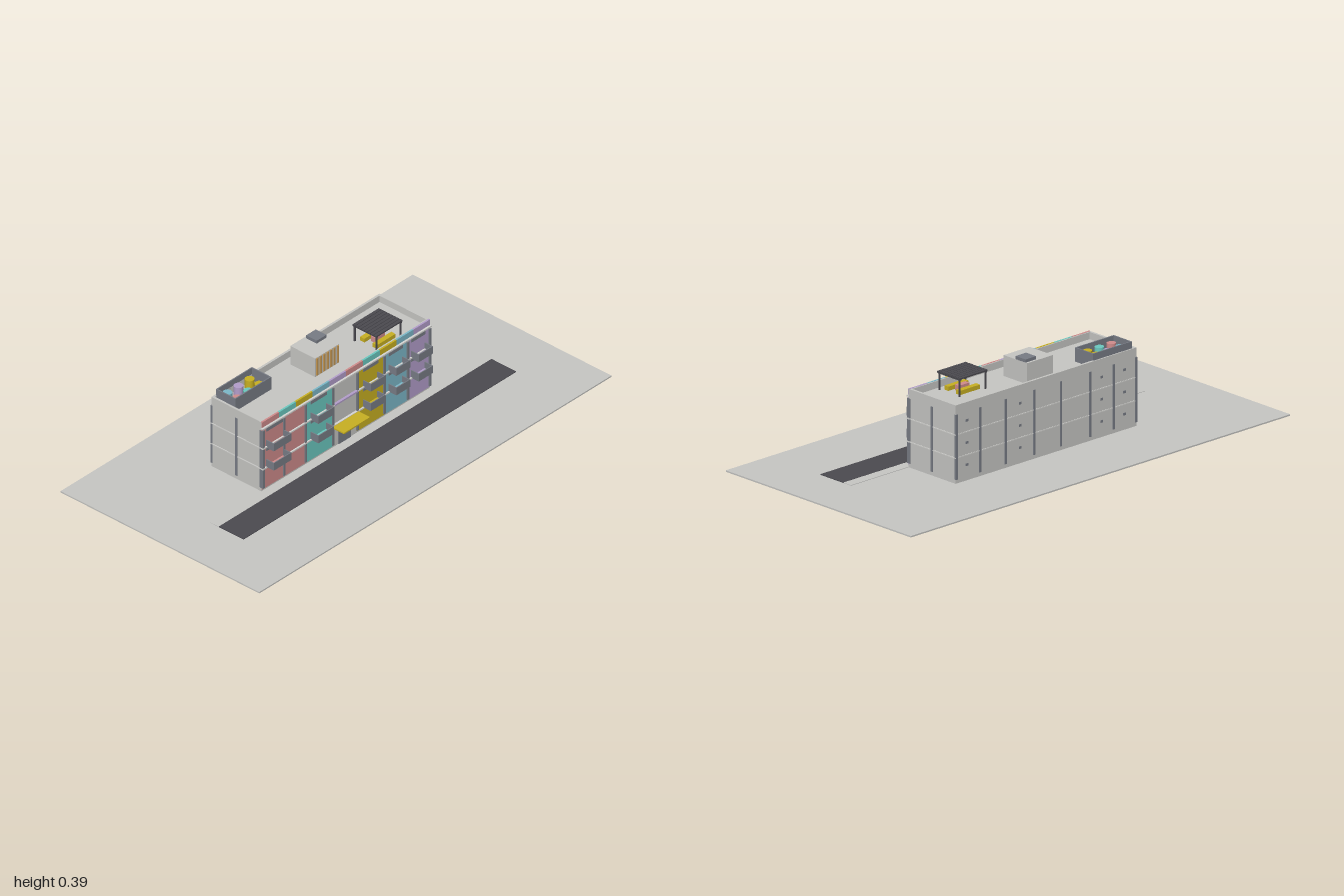
import * as THREE from 'three';

const mat = (name, color) => Object.assign(new THREE.MeshStandardMaterial({ color }), { name });

export function createModel() {
  const concrete = mat('concrete', 0xc6c6c3);
  const pink = mat('pink', 0xd08c8c);
  const teal = mat('teal', 0x6cc9c0);
  const yellow = mat('yellow', 0xc8b022);
  const blue = mat('blue', 0x7cb8c9);
  const purple = mat('purple', 0xb39ecb);
  const slate = mat('slate', 0x787c85);
  const asphalt = mat('asphalt', 0x4b4a50);
  const wood = mat('wood', 0xc79a55);
  const trim = mat('trim', 0xd6d6d3);

  const model = new THREE.Group();
  model.name = 'apartmentBlock';

  // Box given by its min and max corners
  function box(name, m, x0, x1, y0, y1, z0, z1, parent = model) {
    const mesh = new THREE.Mesh(new THREE.BoxGeometry(x1 - x0, y1 - y0, z1 - z0), m);
    mesh.position.set((x0 + x1) / 2, (y0 + y1) / 2, (z0 + z1) / 2);
    mesh.name = name;
    parent.add(mesh);
    return mesh;
  }
  function group(name) {
    const g = new THREE.Group();
    g.name = name;
    model.add(g);
    return g;
  }

  const X0 = -0.485, X1 = 0.469, Z0 = -0.203, Z1 = 0.057;
  const DECK = 0.295, TOP = 0.324, T = 0.01;

  // Site
  box('ground', concrete, -1, 1, 0, 0.006, -0.513, 0.513);
  box('road', asphalt, -0.775, 0.773, 0.004, 0.009, 0.1, 0.227);
  box('pavement', concrete, -0.775, 0.773, 0.004, 0.008, Z1, 0.1);

  // Main body and parapet
  box('body', concrete, X0, X1, 0.006, DECK, Z0, Z1);
  box('parapetBack', concrete, X0, X1, DECK, TOP, Z0, Z0 + T);
  box('parapetLeft', concrete, X1 - T, X1, DECK, TOP, Z0 + T, Z1);
  box('parapetRight', concrete, X0, X0 + T, DECK, TOP, Z0 + T, Z1);
  box('parapetFront', concrete, X0 + T, X1 - T, DECK, TOP, Z1 - T, Z1 - 0.003);

  // Row of coloured parapet panels
  const palette = [pink, teal, yellow, blue, purple];
  const panels = group('parapetPanels');
  const w = (X1 - X0) / 10;
  for (let i = 0; i < 10; i++) {
    box('parapetPanel', palette[i % 5], X0 + i * w, X0 + (i + 1) * w, 0.3, TOP + 0.0005, Z1 - 0.005, Z1 + 0.003, panels);
  }

  // Coloured facade bays
  const bays = [[X0, -0.24, pink], [-0.24, -0.085, teal], [0.055, 0.207, yellow], [0.207, 0.34, blue], [0.34, X1, purple]];
  const facade = group('facade');
  for (const [a, b, m] of bays) box('facadeBay', m, a, b, 0.016, DECK, Z1 - 0.002, Z1 + 0.003, facade);

  // Floor bands around the building
  const bands = group('floorBands');
  for (const y of [0.11, 0.204, 0.295]) {
    box('floorBand', trim, X0 - 0.002, X1 + 0.002, y - 0.003, y + 0.003, Z1 - 0.004, Z1 + 0.0095, bands);
    if (y < 0.29) {
      box('floorBand', trim, X0 - 0.002, X1 + 0.002, y - 0.002, y + 0.002, Z0 - 0.002, Z0 + 0.004, bands);
      for (const x of [X0, X1]) box('floorBand', trim, x - 0.002, x + 0.002, y - 0.002, y + 0.002, Z0, Z1, bands);
    }
  }

  // Pilasters on all sides
  const pilasters = group('pilasters');
  for (const x of [X0 + 0.004, -0.363, -0.24, -0.085, 0.055, 0.207, 0.34, X1 - 0.004]) {
    box('frontPilaster', slate, x - 0.005, x + 0.005, 0.022, 0.286, Z1 - 0.009, Z1 + 0.008, pilasters);
    box('backPilaster', slate, x - 0.005, x + 0.005, 0.022, 0.286, Z0 - 0.003, Z0 + 0.006, pilasters);
  }
  for (const x of [X0, X1]) box('sidePilaster', slate, x - 0.003, x + 0.003, 0.022, 0.286, -0.078, -0.068, pilasters);

  // Balconies: coloured floor, slate railing, window lintel above
  const balconies = group('balconies');
  const spans = [[-0.463, -0.363, pink], [-0.21, -0.12, teal], [0.088, 0.172, yellow], [0.233, 0.312, blue], [0.36, 0.441, purple]];
  for (const [a, b, m] of spans) {
    for (const y of [0.11, 0.199]) {
      box('balconyFloor', m, a + 0.003, b - 0.003, y, y + 0.006, Z1, 0.097, balconies);
      box('balconyFront', slate, a, b, y, y + 0.034, 0.096, 0.1, balconies);
      box('balconySide', slate, a, a + 0.004, y, y + 0.034, Z1, 0.097, balconies);
      box('balconySide', slate, b - 0.004, b, y, y + 0.034, Z1, 0.097, balconies);
      box('windowHead', slate, a, b, y + 0.073, y + 0.088, Z1, Z1 + 0.005, balconies);
    }
  }

  // Entrance bay
  box('entranceDoor', slate, -0.05, 0.02, 0.008, 0.085, Z1, Z1 + 0.003);
  box('entranceCanopy', yellow, -0.093, 0.055, 0.105, 0.111, Z1, 0.126);
  box('entranceStripe', purple, -0.08, 0.05, 0.201, 0.208, Z1, Z1 + 0.011);

  // Small vents on the back wall
  const vents = group('backVents');
  for (const x of [0.41, 0.13, -0.3, -0.42]) {
    for (const y of [0.07, 0.16, 0.25]) box('vent', slate, x - 0.006, x + 0.006, y - 0.005, y + 0.005, Z0 - 0.002, Z0 + 0.002, vents);
  }

  // Roof stair house with wooden slats and a vent box
  box('stairHouse', concrete, -0.086, 0.05, DECK, 0.38, -0.158, -0.029);
  const slats = group('stairHouseSlats');
  for (let i = 0; i < 7; i++) {
    const x = -0.076 + i * 0.0195;
    box('slat', wood, x - 0.0045, x + 0.0045, 0.3, 0.378, -0.03, -0.025, slats);
  }
  box('roofVent', slate, -0.006, 0.049, 0.38, 0.393, -0.149, -0.094);

  // Walled roof garden with round planters
  const garden = group('roofGarden');
  const [gx0, gx1, gz0, gz1, gy] = [-0.465, -0.26, -0.198, -0.097, 0.352];
  box('gardenWall', slate, gx0, gx1, DECK, gy, gz0, gz0 + 0.005, garden);
  box('gardenWall', slate, gx0, gx1, DECK, gy, gz1 - 0.005, gz1, garden);
  box('gardenWall', slate, gx0, gx0 + 0.005, DECK, gy, gz0, gz1, garden);
  box('gardenWall', slate, gx1 - 0.005, gx1, DECK, gy, gz0, gz1, garden);
  [[blue, purple, yellow], [pink, teal, yellow]].forEach((row, r) => row.forEach((m, c) => {
    const planter = new THREE.Mesh(new THREE.CylinderGeometry(0.019, 0.019, 0.04, 20), m);
    planter.position.set(-0.432 + c * 0.063, DECK + 0.02, -0.168 + r * 0.05);
    planter.name = 'planter';
    garden.add(planter);
  }));

  // Pergola with seating
  const pergola = group('pergola');
  for (const x of [0.199, 0.335]) {
    for (const z of [-0.084, 0.028]) box('post', asphalt, x - 0.003, x + 0.003, DECK, 0.366, z - 0.003, z + 0.003, pergola);
    box('beam', asphalt, x - 0.004, x + 0.004, 0.362, 0.367, -0.09, 0.033, pergola);
  }
  for (let i = 0; i < 8; i++) {
    const z = -0.083 + i * 0.0156;
    box('pergolaSlat', asphalt, 0.192, 0.342, 0.366, 0.372, z - 0.0066, z + 0.0066, pergola);
  }
  for (const z of [-0.06, 0.005]) box('bench', yellow, 0.215, 0.32, DECK, 0.312, z - 0.011, z + 0.011, pergola);
  box('table', pink, 0.24, 0.295, DECK, 0.318, -0.038, -0.016, pergola);

  return model;
}
